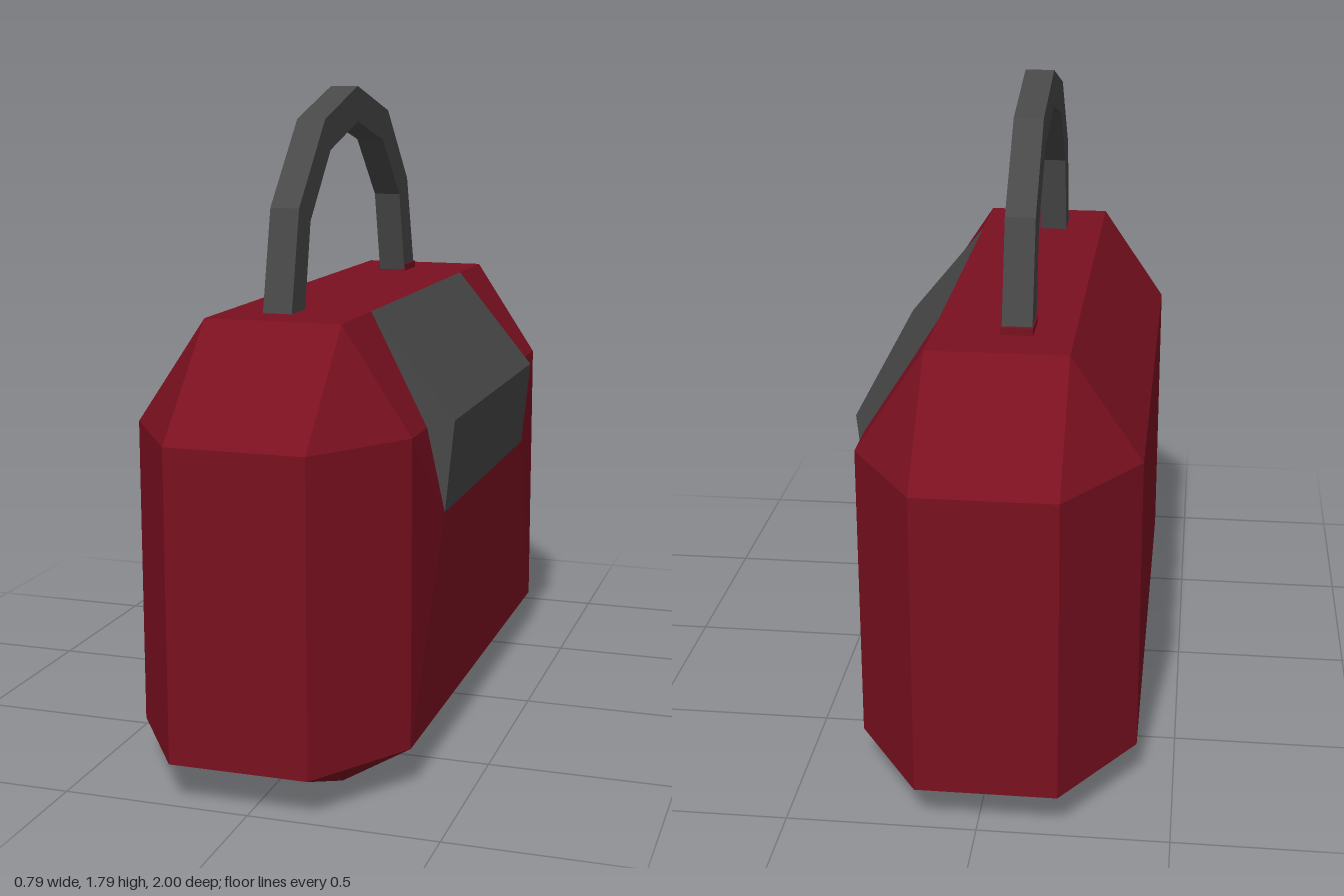
import * as THREE from 'three';

const red = new THREE.MeshStandardMaterial({ color: 0x7a1020, flatShading: true });
const grey = new THREE.MeshStandardMaterial({ color: 0x484848, flatShading: true });

function addMesh(group, name, geometry, material) {
  const mesh = new THREE.Mesh(geometry, material);
  mesh.name = name;
  group.add(mesh);
}

// Flat faces from polygons, each turned to look away from the centre
function facetedGeometry(polygons, centre) {
  const out = [];
  for (const poly of polygons) {
    const v = poly.map((p) => new THREE.Vector3(...p));
    for (let i = 1; i < v.length - 1; i++) {
      const tri = new THREE.Triangle(v[0], v[i], v[i + 1]);
      const normal = tri.getNormal(new THREE.Vector3());
      const outward = tri.getMidpoint(new THREE.Vector3()).sub(centre);
      const order = normal.dot(outward) > 0 ? [tri.a, tri.b, tri.c] : [tri.a, tri.c, tri.b];
      for (const p of order) out.push(p.x, p.y, p.z);
    }
  }
  const geometry = new THREE.BufferGeometry();
  geometry.setAttribute('position', new THREE.Float32BufferAttribute(out, 3));
  geometry.computeVertexNormals();
  return geometry;
}

// Profile drawn in (z, y), extruded from xMin to xMax
function extrudeAcross(points, xMin, xMax) {
  const shape = new THREE.Shape(points.map(([z, y]) => new THREE.Vector2(z, y)));
  return new THREE.ExtrudeGeometry(shape, { depth: xMax - xMin, bevelEnabled: false })
    .rotateY(-Math.PI / 2)
    .translate(xMax, 0, 0);
}

export function createModel() {
  const group = new THREE.Group();

  // Body: chamfered block with rectangular caps and octagonal walls
  const inL = -0.21, inR = 0.16, outL = -0.4, outR = 0.345;
  const zIn = 0.72, zOut = 1, flapZ = 0.47;
  const yLow = 0.11, yHigh = 0.93, yTop = 1.21;
  const faces = [];
  for (const s of [1, -1]) {
    const z = s * zIn, e = s * zOut;
    // end wall and corner walls
    faces.push([[inL, yLow, e], [inR, yLow, e], [inR, yHigh, e], [inL, yHigh, e]]);
    for (const [xi, xo] of [[inL, outL], [inR, outR]]) {
      faces.push([[xi, yLow, e], [xo, yLow, z], [xo, yHigh, z], [xi, yHigh, e]]);
    }
    // end slopes and corner triangles
    for (const [yc, yw] of [[0, yLow], [yTop, yHigh]]) {
      faces.push([[inL, yc, z], [inR, yc, z], [inR, yw, e], [inL, yw, e]]);
      for (const [xi, xo] of [[inL, outL], [inR, outR]]) {
        faces.push([[xi, yc, z], [xo, yw, z], [xi, yw, e]]);
      }
    }
    // left side beside the flap, with the pinched fold next to it
    const f = s * flapZ, fold = [outR, yHigh, s * 0.58], tuck = [0.365, 0.68, f];
    faces.push([[inR, yTop, z], [outR, yHigh, z], fold, [inR, yTop, f]]);
    faces.push([[inR, yTop, f], fold, tuck]);
    faces.push([tuck, [outR, yLow, z], [outR, yHigh, z], fold]);
  }
  const band = (x1, y1, z1, x2, y2, z2) =>
    faces.push([[x1, y1, -z1], [x1, y1, z1], [x2, y2, z2], [x2, y2, -z2]]);
  band(inL, yTop, zIn, inR, yTop, zIn);
  band(inL, 0, zIn, inR, 0, zIn);
  band(inL, 0, zIn, outL, yLow, zIn);
  band(inR, 0, zIn, outR, yLow, zIn);
  band(outL, yLow, zIn, outL, yHigh, zIn);
  band(outL, yHigh, zIn, inL, yTop, zIn);
  band(outR, yLow, zIn, 0.365, 0.68, flapZ);
  band(0.365, 0.68, flapZ, inR, yTop, flapZ);
  addMesh(group, 'body', facetedGeometry(faces, new THREE.Vector3(0, 0.6, 0)), red);

  // Folded flap on the left side
  const flapShape = new THREE.Shape([
    new THREE.Vector2(0.16, 1.21), new THREE.Vector2(0.365, 0.68), new THREE.Vector2(0.39, 0.93),
  ]);
  const flap = new THREE.ExtrudeGeometry(flapShape, { depth: 2 * flapZ, bevelEnabled: false });
  addMesh(group, 'flap', flap.translate(0, 0, -flapZ), grey);

  // Arched handle, outer edge then inner edge back
  const outer = [[0.59, 1.2], [0.525, 1.48], [0.31, 1.705], [0.02, 1.79],
    [-0.28, 1.715], [-0.49, 1.5], [-0.575, 1.2]];
  const inner = [[0.485, 1.2], [0.435, 1.44], [0.265, 1.62], [0.02, 1.69],
    [-0.225, 1.63], [-0.405, 1.455], [-0.465, 1.2]];
  addMesh(group, 'handle', extrudeAcross([...outer, ...inner.reverse()], -0.1, -0.02), grey);

  // Small collar at the rear foot of the handle
  const collar = new THREE.BoxGeometry(0.086, 0.03, 0.116).translate(-0.06, 1.215, -0.52);
  addMesh(group, 'handleCollar', collar, red);

  return group;
}
